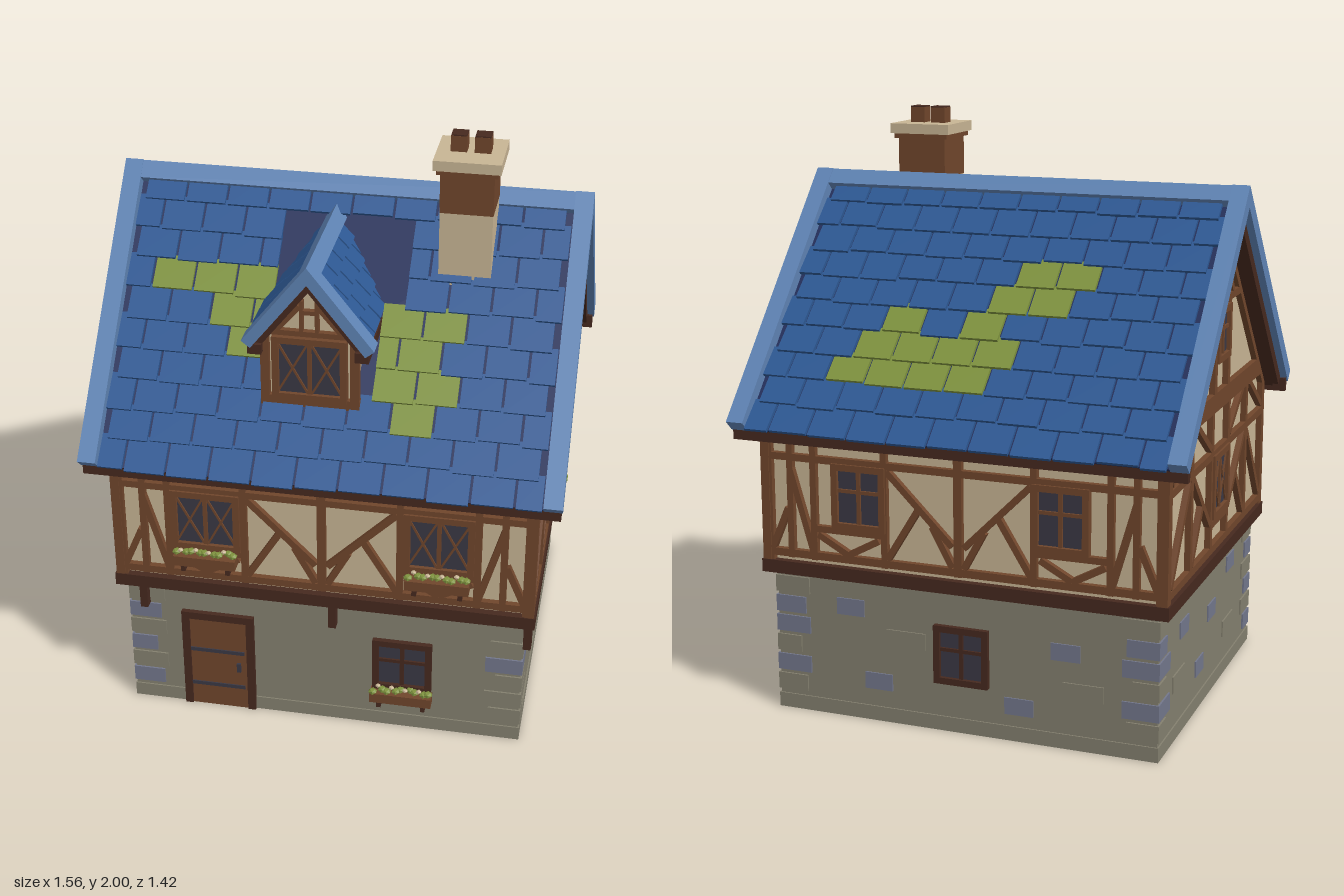
import * as THREE from 'three';
import { mergeGeometries } from 'three/addons/utils/BufferGeometryUtils.js';

const mat = (name, color) => Object.assign(new THREE.MeshStandardMaterial({ color }), { name });
const M = {
  plaster: mat('plaster', 0xc8b594), stone: mat('stone', 0x84806f), slate: mat('slateStone', 0x73778c),
  wood: mat('timber', 0x70462c), dark: mat('darkWood', 0x46291f), tile: mat('roofTile', 0x2d5893),
  trim: mat('roofTrim', 0x5f84b5), under: mat('roofUnderlay', 0x222e5a), moss: mat('moss', 0x7e923e),
  glass: mat('glass', 0x3a3844),
};
let seed = 7;
const rnd = () => (seed = (seed * 16807) % 2147483647) / 2147483647;

function add(parent, name, geo, m) {
  const mesh = new THREE.Mesh(geo, m);
  mesh.name = name;
  parent.add(mesh);
  return mesh;
}
function box(parent, name, m, w, h, d, x, y, z) {
  const mesh = add(parent, name, new THREE.BoxGeometry(w, h, d), m);
  mesh.position.set(x, y, z);
  return mesh;
}
function group(parent, name, x = 0, y = 0, z = 0, ry = 0) {
  const g = new THREE.Group();
  g.name = name;
  g.position.set(x, y, z);
  g.rotation.y = ry;
  parent.add(g);
  return g;
}
// straight timber on a wall, from (u1,v1) to (u2,v2)
function beam(wall, [u1, v1, u2, v2, w = 0.022], depth = 0.03, z = 0.005) {
  const b = box(wall, 'timber', M.wood, Math.hypot(u2 - u1, v2 - v1), w, depth, (u1 + u2) / 2, (v1 + v2) / 2, z);
  b.rotation.z = Math.atan2(v2 - v1, u2 - u1);
}
function beams(wall, list, mirrored) {
  for (const [u1, v1, u2, v2, w] of list) {
    beam(wall, [u1, v1, u2, v2, w]);
    if (mirrored) beam(wall, [-u1, v1, -u2, v2, w]);
  }
}
const prism = (pts, depth) =>
  new THREE.ExtrudeGeometry(new THREE.Shape(pts.map(p => new THREE.Vector2(...p))), { depth, bevelEnabled: false });
// inverted V along z with square-cut ends: apex height t, half width hw, slope s, vertical thickness th
function chevron(t, hw, s, th, z0, z1) {
  const y = t - s * hw, n = th / (1 + s * s), iw = hw - n * s;
  return prism([[-iw, y - n], [0, t - th], [iw, y - n], [hw, y], [0, t], [-hw, y]], z1 - z0).translate(0, 0, z0);
}

function windowUnit(wall, u, v, w, h, { cross = false, frame = M.wood, z = 0 } = {}) {
  const g = group(wall, 'window', u, v, z);
  box(g, 'glass', M.glass, w, h, 0.02, 0, 0, 0.004);
  for (const s of [-1, 1]) {
    box(g, 'frameSide', frame, 0.022, h + 0.02, 0.045, s * w / 2, 0, 0.005);
    box(g, 'frameRail', frame, w + 0.02, 0.022, 0.045, 0, s * h / 2, 0.005);
    if (cross) {
      beam(g, [-w / 2, -s * h / 2, 0, s * h / 2, 0.007], 0.01, 0.014);
      beam(g, [0, -s * h / 2, w / 2, s * h / 2, 0.007], 0.01, 0.014);
    }
  }
  box(g, 'mullion', frame, 0.014, h, 0.02, 0, 0, 0.011);
  if (!cross) box(g, 'crossbar', frame, w, 0.012, 0.02, 0, h * 0.1, 0.011);
}
function flowerBox(wall, u, v, w, z = 0.03) {
  const g = group(wall, 'flowerBox', u, v, z);
  box(g, 'planter', M.wood, w, 0.036, 0.045, 0, 0, 0.01);
  for (const s of [-1, 1]) box(g, 'bracket', M.dark, 0.015, 0.03, 0.035, s * w * 0.36, -0.032, 0.002);
  for (let i = 0; i < 13; i++) {
    const flower = i % 3 == 1;
    const p = add(g, flower ? 'flower' : 'leaf', new THREE.IcosahedronGeometry(flower ? 0.01 : 0.016, 0), flower ? M.plaster : M.moss);
    p.position.set((i / 12 - 0.5) * w * 0.9, (flower ? 0.034 : 0.024) + rnd() * 0.008, 0.002 + rnd() * 0.025);
    p.scale.y = 0.7;
  }
}
// overlapping tile rows on one slope; row k counts up from the eaves
function tiles(parent, { t, s, reach, rows, step, u0, u1, w, front, moss = {}, hole, flip = 1 }) {
  const k1 = Math.hypot(1, s), len = step * k1, sets = { tile: [], moss: [] };
  for (let k = 0; k < rows; k++) {
    const shift = k % 2 ? 0 : w / 2;
    for (let n = Math.floor(u0 / w) - 1; n * w + shift < u1; n++) {
      const a = Math.max(n * w + shift, u0), b = Math.min((n + 1) * w + shift, u1), mid = (n + 0.5) * w + shift;
      const h = hole && hole(k);
      const parts = h && a < h[1] && b > h[0] ? [[a, h[0]], [h[1], b]] : [[a, b]];
      for (const [p, q] of parts) {
        if (q - p < 0.025) continue;
        const l = len * 1.1 + rnd() * 0.012;
        const geo = new THREE.BoxGeometry(q - p - 0.009, 0.012, l).rotateX(-0.08 - rnd() * 0.03)
          .translate((p + q) / 2 * flip, 0.013, (reach - step * (k + 1)) * k1 + l / 2);
        sets[(moss[k] || []).some(c => Math.abs(c - mid) < 0.02) ? 'moss' : 'tile'].push(geo);
      }
    }
  }
  const g = group(parent, 'tiledSlope', 0, t, 0);
  g.rotation.set(Math.atan(s), front, 0, 'YXZ');
  for (const key in sets) if (sets[key].length) add(g, key + 'Rows', mergeGeometries(sets[key]), M[key]);
}

function stoneBase(house) {
  const g = group(house, 'stoneBase');
  box(g, 'baseWall', M.stone, 1.34, 0.46, 1.18, 0, 0.27, 0);
  for (const s of [-1, 1]) {
    box(g, 'plinth', M.stone, 1.35, 0.05, 0.03, 0, 0.025, s * 0.58);
    box(g, 'plinth', M.stone, 0.03, 0.05, 1.13, s * 0.66, 0.025, 0);
  }
  // corner stones, long and short in turn; slate rows listed for each corner
  for (const [sx, sz, slate] of [[-1, 1, [0, 2, 4]], [1, 1, [3]], [1, -1, [1, 3, 4]], [-1, -1, [1, 3, 4]]]) {
    for (let i = 0; i < 6; i++) {
      const w = i % 2 ? 0.125 : 0.11 - 0.02 * (i % 4 == 2), d = i % 2 ? 0.125 : 0.085;
      box(g, 'cornerStone', slate.includes(i) ? M.slate : M.stone, w, 0.058, d,
        sx * (0.676 - w / 2), 0.095 + 0.07 * i, sz * (0.596 - d / 2));
    }
  }
  // loose wall stones: [u, v, slate]
  const side = [[-0.35, 0.435, 1], [-0.26, 0.225, 1], [0.3, 0.225, 1], [0.1, 0.36, 0], [-0.1, 0.13, 0], [0.38, 0.4, 0]];
  const left = [[-0.3, 0.36, 1], [0.05, 0.3, 1], [0.3, 0.4, 1], [-0.1, 0.15, 1], [0.28, 0.17, 0], [-0.36, 0.2, 0]];
  const back = [[-0.4, 0.39, 1], [0.36, 0.33, 1], [-0.3, 0.14, 1], [0.2, 0.12, 1], [0.42, 0.2, 0], [-0.2, 0.3, 0]];
  const walls = [[side, 0.67, 0, Math.PI / 2], [left, -0.67, 0, -Math.PI / 2], [back, 0, -0.59, Math.PI]];
  for (const [list, x, z, ry] of walls) {
    const wall = group(g, 'baseSide', x, 0, z, ry);
    for (const [u, v, slate] of list) box(wall, 'wallStone', slate ? M.slate : M.stone, slate ? 0.1 : 0.14, 0.058, 0.01, u, v, 0);
    if (list === back) windowUnit(wall, 0, 0.27, 0.17, 0.18, { frame: M.dark, z: -0.01 });
  }
  const front = group(g, 'baseFront', 0, 0, 0.59);
  windowUnit(front, 0.27, 0.26, 0.18, 0.18, { frame: M.dark, z: -0.01 });
  flowerBox(front, 0.27, 0.14, 0.21, 0.015);
  // door
  const door = group(front, 'door', -0.367, 0, 0);
  box(door, 'doorLeaf', M.wood, 0.2, 0.37, 0.02, 0, 0.185, 0);
  for (const s of [-1, 1]) box(door, 'doorPost', M.dark, 0.027, 0.39, 0.03, s * 0.112, 0.195, 0.001);
  box(door, 'doorLintel', M.dark, 0.25, 0.027, 0.032, 0, 0.378, 0.001);
  for (const y of [0.09, 0.235]) box(door, 'hingeStrap', M.glass, 0.19, 0.014, 0.006, -0.005, y, 0.011);
  box(door, 'doorHandle', M.glass, 0.014, 0.035, 0.012, 0.07, 0.175, 0.012);
  for (const u of [-0.615, 0.035, 0.688]) box(front, 'jettyBracket', M.dark, 0.026, 0.09, 0.045, u, 0.452, 0.012);
}

function upperFloor(house, S) {
  const g = group(house, 'upperFloor');
  add(g, 'plasterWalls', prism([[-0.6, 0.5], [0.6, 0.5], [0.6, 1.04], [0, 1.04 + 0.6 * S], [-0.6, 1.04]], 1.37)
    .translate(0, 0, -0.685).rotateY(Math.PI / 2), M.plaster);
  box(g, 'jettyBeam', M.dark, 1.42, 0.045, 1.25, 0, 0.513, 0);
  // long walls
  const long = [[0.685, 0.53, 0.685, 1, 0.038], [0.6, 0.55, 0.6, 0.97], [0.515, 0.55, 0.515, 0.97], [0.26, 0.55, 0.26, 0.97],
    [0.27, 0.66, 0.51, 0.66], [0.02, 0.65, 0.25, 0.88], [0.02, 0.58, 0.09, 0.71], [0.25, 0.58, 0.14, 0.76],
    [0.67, 0.58, 0.61, 0.72], [0.52, 0.58, 0.6, 0.86], [0.28, 0.64, 0.39, 0.58], [0.5, 0.64, 0.39, 0.58]];
  const longRails = [[-0.69, 0.565, 0.69, 0.565, 0.026], [-0.69, 0.897, 0.69, 0.897, 0.024], [-0.69, 0.965, 0.69, 0.965, 0.026],
    [0, 0.55, 0, 0.97, 0.028]];
  for (const s of [1, -1]) {
    const wall = group(g, s > 0 ? 'frontWall' : 'backWall', 0, 0, s * 0.6, s > 0 ? 0 : Math.PI);
    beams(wall, long, true);
    beams(wall, longRails);
    for (const side of [-1, 1]) {
      if (s > 0) {
        windowUnit(wall, side * 0.388, 0.78, 0.21, 0.2, { cross: true });
        flowerBox(wall, side * 0.388, 0.64, 0.21);
      } else windowUnit(wall, side * 0.35, 0.78, 0.17, 0.2);
    }
  }
  // gable walls
  const gable = [[0.605, 0.53, 0.605, 1.03, 0.036], [0.355, 0.55, 0.355, 1.05, 0.026], [0.105, 0.55, 0.105, 1.05, 0.026],
    [0.58, 0.58, 0.37, 0.87], [0.12, 0.66, 0.34, 0.88], [0.34, 0.58, 0.22, 0.75], [0.58, 0.92, 0.4, 1.04], [0.12, 0.92, 0.3, 1.04],
    [0.085, 1.08, 0.085, 1.4, 0.03], [0.13, 1.41, 0.01, 1.56], [0.6, 1.01, 0, 1.0 + 0.61 * S, 0.04]];
  const gableRails = [[-0.62, 0.562, 0.62, 0.562, 0.026], [-0.62, 0.893, 0.62, 0.893, 0.026], [-0.575, 1.068, 0.575, 1.068, 0.065],
    [-0.26, 1.4, 0.26, 1.4, 0.025], [0, 1.4, 0, 1.65, 0.03], [-0.1, 0.65, 0.1, 0.65]];
  for (const s of [1, -1]) {
    const wall = group(g, s > 0 ? 'gableLeft' : 'gableRight', s * 0.685, 0, 0, s * Math.PI / 2);
    beams(wall, gable, true);
    beams(wall, gableRails);
    windowUnit(wall, 0, 0.78, 0.18, 0.2, { cross: true });
    windowUnit(wall, 0, 1.29, 0.14, 0.16);
    if (s > 0) flowerBox(wall, 0, 0.645, 0.18);
  }
}

function mainRoof(house, S) {
  const g = group(house, 'mainRoof');
  const alongX = (name, m, t, hw, th, x0, x1) =>
    add(g, name, chevron(t, hw, S, th, x0, x1).rotateY(Math.PI / 2), m);
  alongX('underlay', M.under, 1.725, 0.68, 0.045, -0.735, 0.735);
  alongX('soffit', M.dark, 1.682, 0.66, 0.015, -0.73, 0.73);
  alongX('ridgeCap', M.trim, 1.78, 0.042, 0.06, -0.77, 0.77);
  for (const s of [-1, 1]) {
    alongX('bargeBoard', M.trim, 1.782, 0.71, 0.072, s * 0.75 - 0.03, s * 0.75 + 0.03);
    alongX('bargeRafter', M.dark, 1.712, 0.655, 0.055, s * 0.73 - 0.025, s * 0.73 + 0.025);
    box(g, 'eavesBoard', M.dark, 1.55, 0.048, 0.025, 0, 0.98, s * 0.66);
  }
  const slope = { t: 1.728, s: S, reach: 0.68, rows: 10, step: 0.07, u0: -0.72, u1: 0.72, w: 0.14 };
  tiles(g, { ...slope, front: 0, hole: k => k < 3 || k > 8 ? null : k < 6 ? [-0.21, 0.14] : [-0.215, 0.21],
    moss: { 6: [-0.56, -0.42, -0.28], 5: [-0.35, -0.21, 0.21, 0.35], 4: [-0.28, 0.14, 0.28], 3: [0.21, 0.35], 2: [0.28] } });
  tiles(g, { ...slope, front: Math.PI, flip: -1,
    moss: { 2: [0, 0.14, 0.28, 0.42], 3: [-0.07, 0.07, 0.21, 0.35], 4: [0, 0.28], 5: [-0.21, -0.07], 6: [-0.28, -0.14] } });
}

function dormer(house) {
  const g = group(house, 'dormer', -0.052, 0, 0), S = 1.27;
  add(g, 'dormerWalls', prism([[-0.145, 1.18], [0.145, 1.18], [0.145, 1.43], [0, 1.61], [-0.145, 1.43]], 0.4).translate(0, 0, 0.1), M.plaster);
  add(g, 'dormerUnderlay', chevron(1.66, 0.19, S, 0.03, 0.06, 0.5), M.under);
  add(g, 'dormerBarge', chevron(1.7, 0.213, S, 0.06, 0.485, 0.55), M.trim);
  add(g, 'dormerRafter', chevron(1.645, 0.18, S, 0.04, 0.49, 0.53), M.dark);
  add(g, 'dormerRidge', chevron(1.7, 0.035, S, 0.05, 0.04, 0.5), M.trim);
  for (const s of [-1, 1]) {
    box(g, 'dormerEaves', M.dark, 0.045, 0.034, 0.44, s * 0.172, 1.4, 0.325);
    // u runs along the dormer depth on each slope
    tiles(g, { t: 1.66, s: S, reach: 0.172, rows: 4, step: 0.043, u0: 0.08, u1: 0.485, w: 0.1, front: s * Math.PI / 2, flip: -s });
  }
  const wall = group(g, 'dormerFront', 0, 0, 0.5);
  beams(wall, [[0.145, 1.19, 0.145, 1.44, 0.028], [0.025, 1.46, 0.025, 1.57, 0.012], [0.11, 1.455, 0.03, 1.55, 0.016]], true);
  beams(wall, [[-0.16, 1.21, 0.16, 1.21, 0.035], [-0.14, 1.455, 0.14, 1.455, 0.018], [-0.03, 1.53, 0.03, 1.53, 0.014]]);
  windowUnit(wall, 0, 1.33, 0.22, 0.2, { cross: true });
}

function chimney(house) {
  const g = group(house, 'chimney', 0.392, 0, 0.115);
  box(g, 'plasterShaft', M.plaster, 0.17, 0.26, 0.172, 0, 1.64, 0);
  box(g, 'brickShaft', M.wood, 0.172, 0.15, 0.174, 0, 1.835, 0);
  box(g, 'brickCollar', M.wood, 0.195, 0.018, 0.195, 0, 1.902, 0);
  box(g, 'capStone', M.plaster, 0.216, 0.034, 0.216, 0, 1.927, 0);
  for (const s of [-1, 1]) {
    box(g, 'chimneyPot', M.wood, 0.052, 0.056, 0.052, s * 0.038, 1.968, -0.005);
    box(g, 'potOpening', M.dark, 0.05, 0.004, 0.05, s * 0.038, 1.998, -0.005);
  }
}

export function createModel() {
  seed = 7;
  const house = new THREE.Group(), slope = 1.07;
  house.name = 'timberHouse';
  stoneBase(house);
  upperFloor(house, slope);
  mainRoof(house, slope);
  dormer(house);
  chimney(house);
  return house;
}
